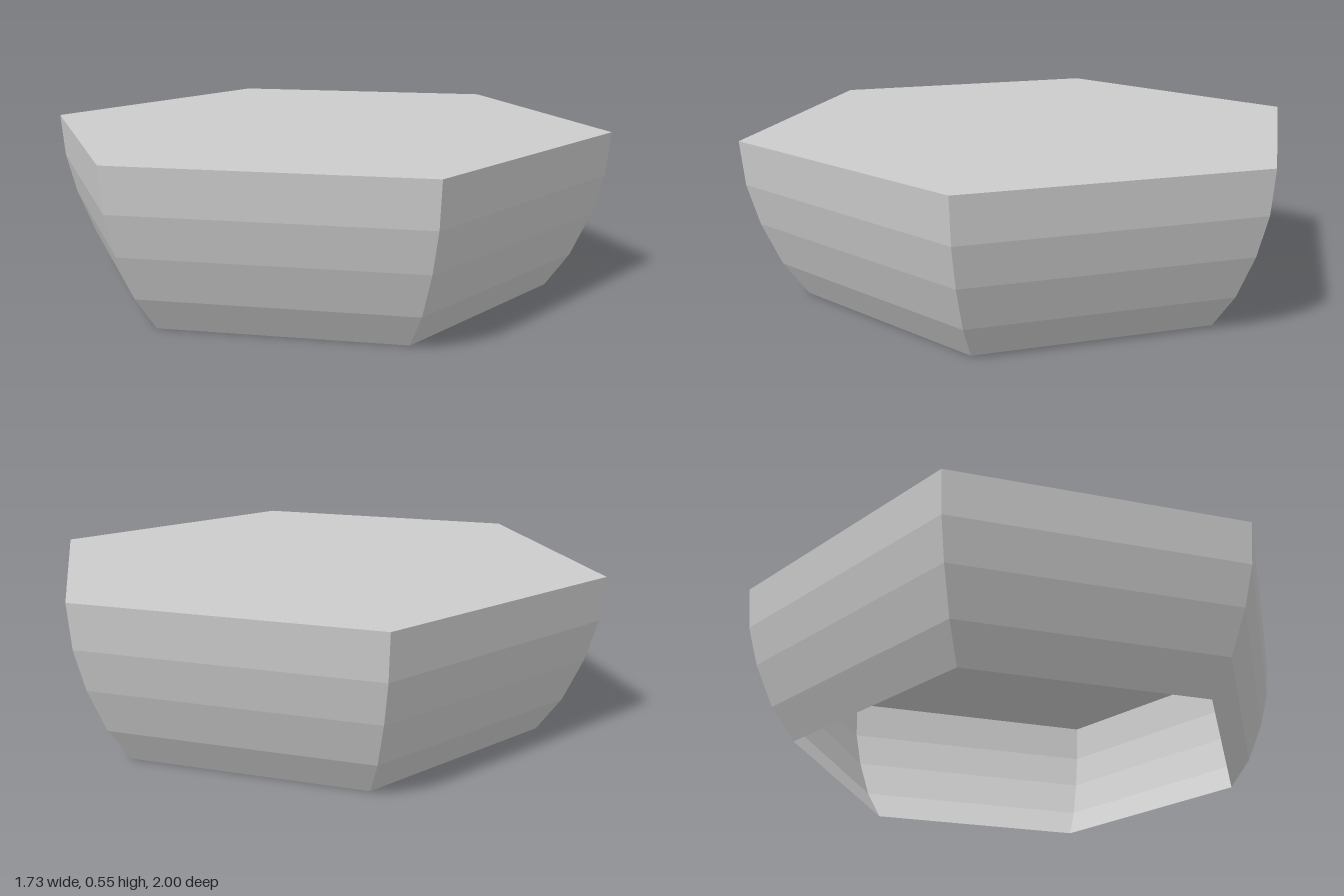
import * as THREE from 'three';

const SIDES = 6;
const HEIGHT = 0.553;

export function createModel() {
  const group = new THREE.Group();
  group.name = 'hexagonalBowl';
  const material = new THREE.MeshStandardMaterial({
    color: 0xcccccc, flatShading: true, side: THREE.DoubleSide,
  });

  // Bulging six-sided wall, open at the bottom (corner radius, height)
  const profile = [[0.8, 0], [0.882, 0.116], [0.947, 0.264], [0.986, 0.403], [1, HEIGHT]]
    .map(([r, y]) => new THREE.Vector2(r, y));
  const wall = new THREE.Mesh(new THREE.LatheGeometry(profile, SIDES), material);
  wall.name = 'wall';

  // Flat hexagonal lid with corners on the z axis
  const lidShape = new THREE.CircleGeometry(1, SIDES, Math.PI / 2);
  lidShape.rotateX(-Math.PI / 2);
  const lid = new THREE.Mesh(lidShape, material);
  lid.name = 'lid';
  lid.position.y = HEIGHT;

  group.add(wall, lid);
  return group;
}
